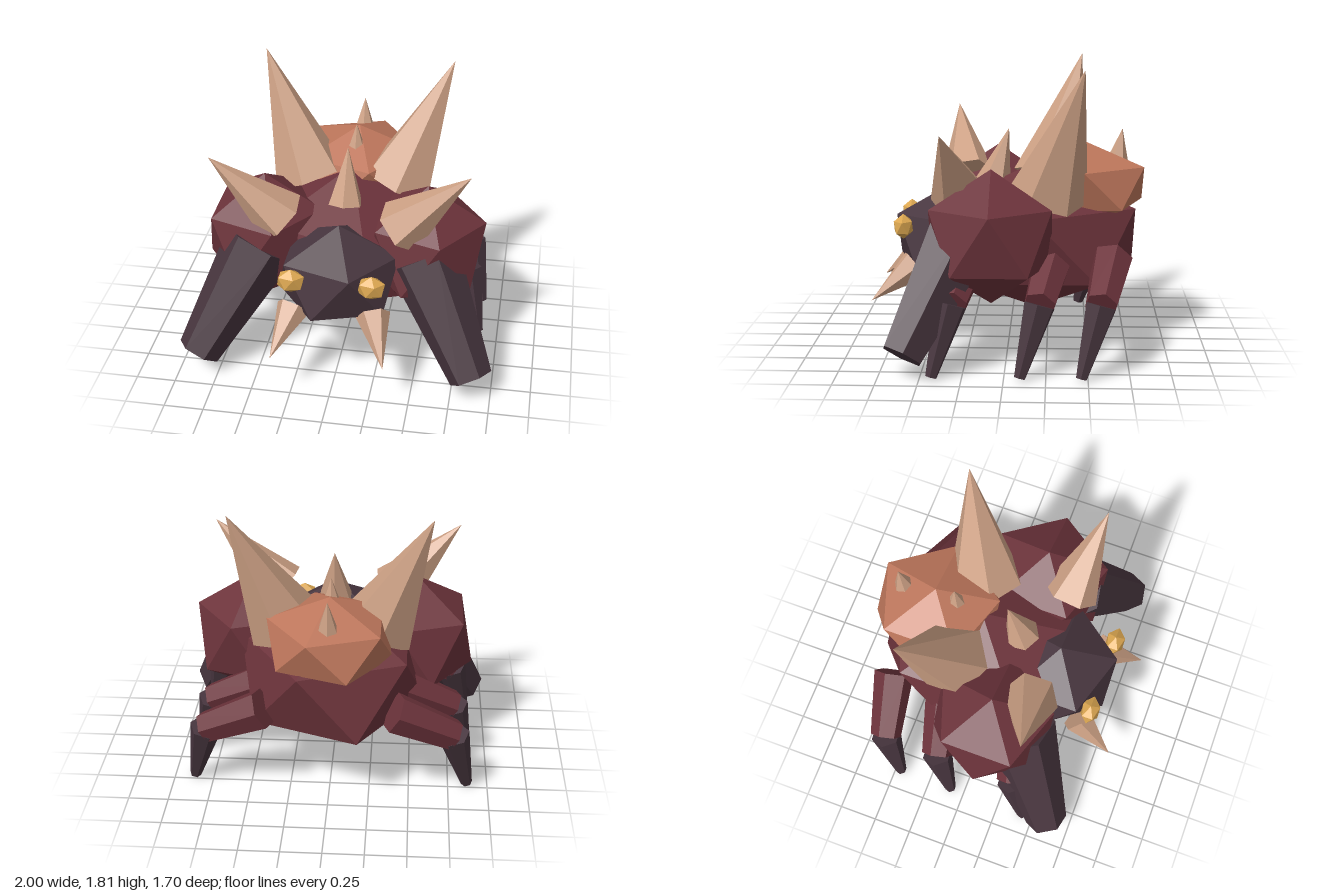
import * as THREE from 'three';
import { ConvexGeometry } from 'three/addons/geometries/ConvexGeometry.js';

function material(name, color) {
  const m = new THREE.MeshStandardMaterial({ color });
  m.name = name;
  return m;
}

export function createModel() {
  const red = material('dark red hide', 0x6c333b);
  const dark = material('dark plum shell', 0x47353e);
  const orange = material('orange hump', 0xbd765b);
  const bone = material('tan horn', 0xcca084);
  const gold = material('gold eye', 0xdba650);

  const model = new THREE.Group();
  model.name = 'spikedBeast';

  function add(name, geometry, mat) {
    const mesh = new THREE.Mesh(geometry, mat);
    mesh.name = name;
    model.add(mesh);
    return mesh;
  }

  // Faceted ball with a corner at the top and the bottom, stretched to three radii
  function gem(name, center, radii, mat) {
    const points = [new THREE.Vector3(0, 1, 0), new THREE.Vector3(0, -1, 0)];
    const h = 1 / Math.sqrt(5), r = 2 * h;
    for (let i = 0; i < 10; i++) {
      const a = i * Math.PI / 5;
      points.push(new THREE.Vector3(r * Math.cos(a), i % 2 ? -h : h, r * Math.sin(a)));
    }
    const scale = new THREE.Vector3(...radii);
    points.forEach((p) => p.multiply(scale));
    add(name, new ConvexGeometry(points), mat).position.set(...center);
  }

  // Flat-sided six-edged cone or limb from one point to another
  function taper(name, from, to, r0, r1, mat) {
    const a = new THREE.Vector3(...from), b = new THREE.Vector3(...to);
    const axis = b.clone().sub(a);
    const g = new THREE.CylinderGeometry(r1, r0, axis.length(), 6).toNonIndexed();
    g.computeVertexNormals();
    const mesh = add(name, g, mat);
    mesh.position.copy(a).add(b).multiplyScalar(0.5);
    mesh.quaternion.setFromUnitVectors(new THREE.Vector3(0, 1, 0), axis.normalize());
  }

  // Body, head and hump
  gem('body', [0, 0.685, -0.17], [0.65, 0.475, 0.74], red);
  gem('head', [0, 0.69, 0.36], [0.425, 0.335, 0.41], dark);
  gem('hump', [0, 1.03, -0.475], [0.43, 0.27, 0.446], orange);

  // Spikes along the middle of the back
  taper('neckSpike', [0, 1.03, 0.1], [0, 1.38, 0], 0.115, 0, bone);
  taper('frontHumpSpike', [0, 1.2, -0.34], [0, 1.37, -0.35], 0.06, 0, bone);
  taper('rearHumpSpike', [0, 1.17, -0.69], [0, 1.38, -0.72], 0.07, 0, bone);

  for (const s of [1, -1]) {
    const side = s > 0 ? 'left' : 'right';

    // Face
    gem(side + 'Eye', [s * 0.248, 0.787, 0.655], [0.094, 0.08, 0.067], gold);
    taper(side + 'Tusk', [s * 0.25, 0.54, 0.58], [s * 0.35, 0.332, 0.85], 0.108, 0, bone);

    // Shoulder with its spike, and the big back horn
    gem(side + 'Shoulder', [s * 0.52, 0.785, 0.09], [0.415, 0.415, 0.435], red);
    taper(side + 'ShoulderSpike', [s * 0.375, 1.01, 0.29], [s * 0.8, 1.44, 0.375], 0.18, 0, bone);
    taper(side + 'BackHorn', [s * 0.29, 1.01, -0.26], [s * 0.61, 1.805, -0.47], 0.245, 0, bone);

    // Heavy front arm
    taper(side + 'Arm', [s * 0.52, 0.79, 0.27], [s * 0.875, 0.14, 0.6], 0.235, 0.137, dark);

    // Three slim legs: red thigh, dark shin
    [0.89, 0.365, 0].forEach((dz, i) => {
      const leg = side + ['Front', 'Middle', 'Rear'][i];
      const knee = [s * 0.775, 0.43, -0.575 + dz];
      taper(leg + 'Thigh', [s * 0.4, 0.62, -0.65 + dz], knee, 0.13, 0.1, red);
      taper(leg + 'Shin', [s * 0.77, 0.43, -0.575 + dz], [s * 0.87, 0.01, -0.46 + dz], 0.1, 0.036, dark);
    });
  }
  return model;
}
